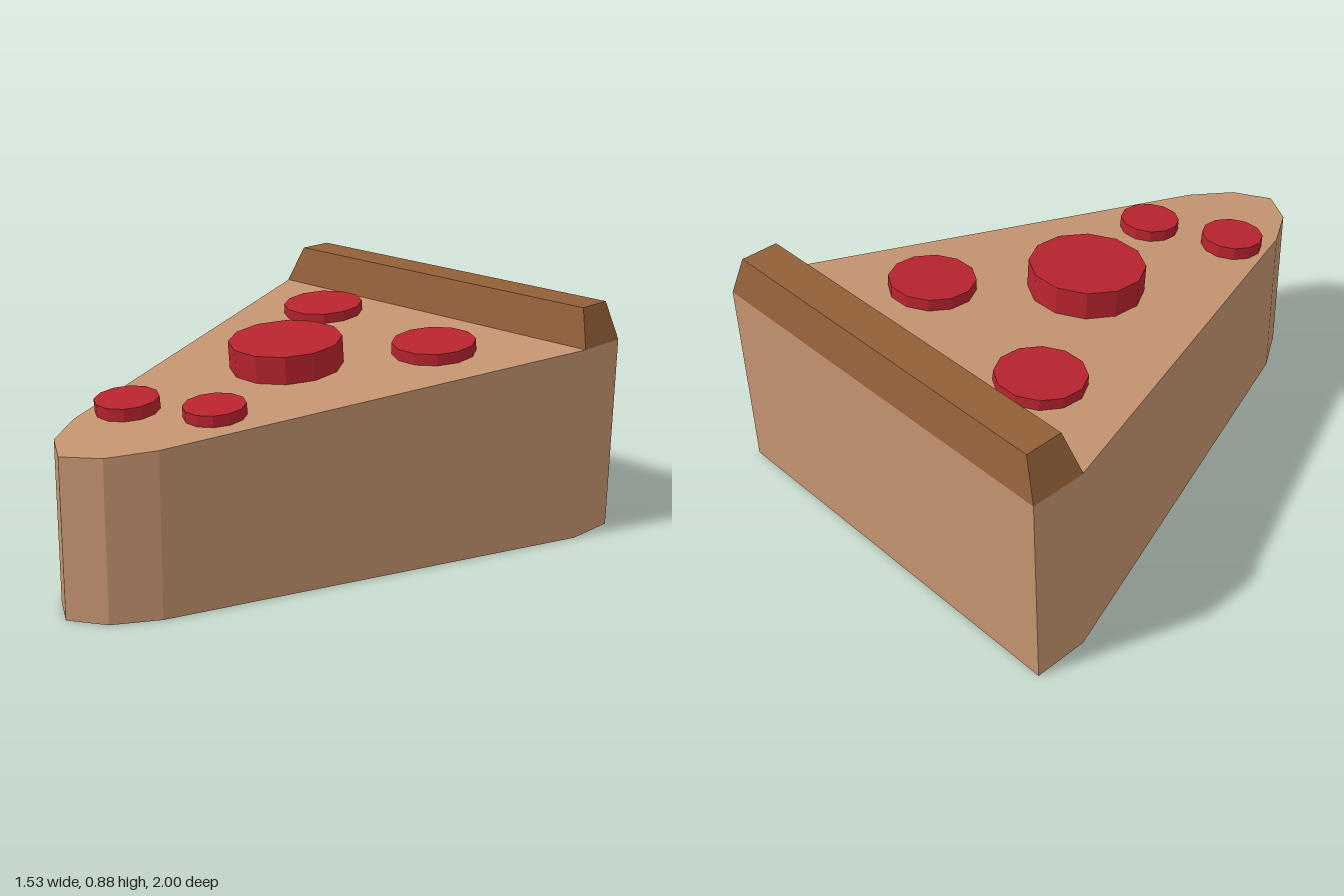
import * as THREE from 'three';

const mat = (name, color) => {
  const m = new THREE.MeshStandardMaterial({ color });
  m.name = name;
  return m;
};

const BACK_Y = 0.735, TIP_Y = 0.58, RIM_Z = -0.8;
const SLOPE = (BACK_Y - TIP_Y) / (1 - RIM_Z);
const topY = (z) => Math.min(BACK_Y, TIP_Y + SLOPE * (1 - z));

// Flat-shaded solid from four-cornered rings; each ring runs
// left-bottom, right-bottom, right-top, left-top (left is +x), back to front.
function loft(rings) {
  const pos = [];
  const quad = (a, b, c, d) => pos.push(...a, ...b, ...c, ...a, ...c, ...d);
  for (let i = 0; i < rings.length - 1; i++) {
    const p = rings[i], q = rings[i + 1];
    for (let k = 0; k < 4; k++) {
      const n = (k + 1) % 4;
      quad(p[k], p[n], q[n], q[k]);
    }
  }
  const [a, b, c, d] = rings[0];
  quad(d, c, b, a);
  quad(...rings[rings.length - 1]);
  const g = new THREE.BufferGeometry();
  g.setAttribute('position', new THREE.Float32BufferAttribute(pos, 3));
  // Turn the winding outward
  for (let i = 0; i < pos.length; i += 9) {
    for (let k = 0; k < 3; k++) [pos[i + 3 + k], pos[i + 6 + k]] = [pos[i + 6 + k], pos[i + 3 + k]];
  }
  g.setAttribute('position', new THREE.Float32BufferAttribute(pos, 3));
  g.computeVertexNormals();
  return g;
}

export function createModel() {
  const model = new THREE.Group();
  model.name = 'pizzaSlice';
  const dough = mat('dough tan', 0xc49470);
  const crustBrown = mat('crust brown', 0x925f38);
  const red = mat('pepperoni red', 0xb8232e);
  const add = (name, geometry, material) => {
    const mesh = new THREE.Mesh(geometry, material);
    mesh.name = name;
    model.add(mesh);
    return mesh;
  };

  // Thick wedge: [z, half width] from the back to the rounded tip
  const outline = [[-1, 0.765], [RIM_Z, 0.765], [0.765, 0.225], [0.92, 0.13], [1, 0.0005]];
  add('sliceBody', loft(outline.map(([z, w]) => [
    [w, 0, z], [-w, 0, z], [-w, topY(z), z], [w, topY(z), z],
  ])), dough);

  // Bevelled crust along the back edge
  const crust = new THREE.BoxGeometry(1.53, 0.143, 0.205).toNonIndexed();
  const p = crust.attributes.position;
  for (let i = 0; i < p.count; i++) {
    if (p.getY(i) > 0) p.setXYZ(i, Math.sign(p.getX(i)) * 0.713 + 0.008, p.getY(i), Math.sign(p.getZ(i)) * 0.07);
  }
  crust.computeVertexNormals();
  add('crust', crust, crustBrown).position.set(0, BACK_Y + 0.0715, -0.8975);

  // Pepperoni discs lying on the slope: x, z, radius, height
  const discs = [
    [-0.337, -0.57, 0.155, 0.038],
    [0.33, -0.465, 0.155, 0.043],
    [-0.013, -0.045, 0.208, 0.102],
    [0.146, 0.45, 0.11, 0.041],
    [-0.14, 0.597, 0.114, 0.046],
  ];
  const sunk = 0.01;
  discs.forEach(([x, z, r, h], i) => {
    const g = new THREE.CylinderGeometry(r, r, h + sunk, 12).toNonIndexed();
    g.rotateY(Math.PI / 12);
    g.translate(0, (h - sunk) / 2, 0);
    g.computeVertexNormals();
    const disc = add('pepperoni' + (i + 1), g, red);
    disc.position.set(x, topY(z), z);
    disc.rotation.x = Math.atan(SLOPE);
  });

  return model;
}
